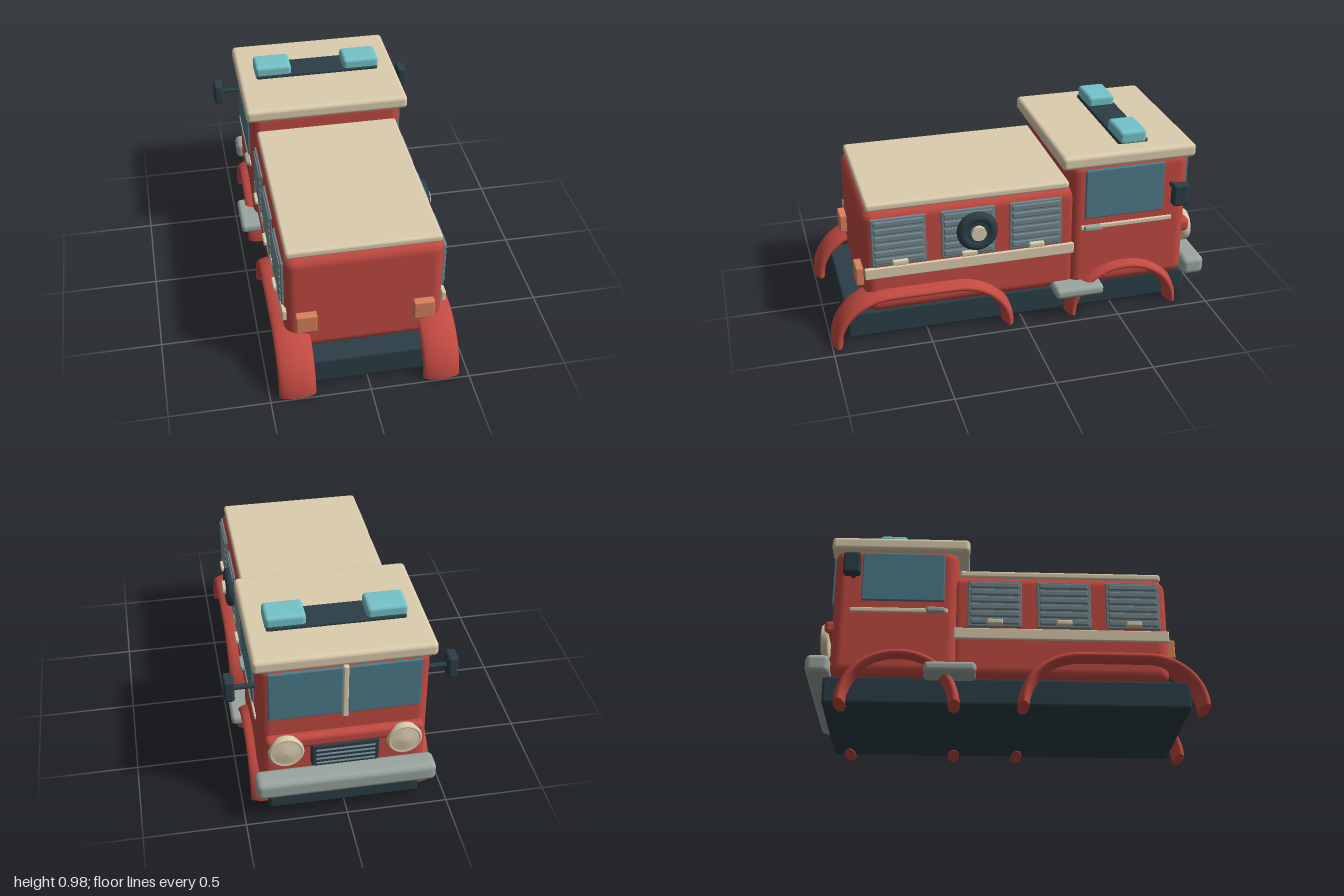
import * as THREE from 'three';
import { RoundedBoxGeometry } from 'three/addons/geometries/RoundedBoxGeometry.js';

const mat = (color) => new THREE.MeshStandardMaterial({ color });

export function createModel() {
  const truck = new THREE.Group();
  truck.name = 'fireTruck';
  const red = mat(0xc24a41), cream = mat(0xdccdae), dark = mat(0x2b3e47), glass = mat(0x4c7c8b);
  const teal = mat(0x74c3ca), grey = mat(0x9aa6a1), shutter = mat(0x70858a), orange = mat(0xd9825c);

  const add = (name, geometry, material, x = 0, y = 0, z = 0) => {
    const mesh = new THREE.Mesh(geometry, material);
    mesh.name = name;
    mesh.position.set(x, y, z);
    truck.add(mesh);
    return mesh;
  };
  // Rounded box given by its limits on each axis
  const block = (name, material, [x0, x1], [y0, y1], [z0, z1], r = 0.01) => {
    const w = x1 - x0, h = y1 - y0, d = z1 - z0;
    const radius = Math.min(r, w * 0.49, h * 0.49, d * 0.49);
    return add(name, new RoundedBoxGeometry(w, h, d, 4, radius), material,
      (x0 + x1) / 2, (y0 + y1) / 2, (z0 + z1) / 2);
  };
  // The same block on both sides of the truck
  const pair = (name, material, [x0, x1], y, z, r) => {
    block(name + 'Left', material, [x0, x1], y, z, r);
    block(name + 'Right', material, [-x1, -x0], y, z, r);
  };

  // Chassis, rear body and cab
  block('chassis', dark, [-0.375, 0.375], [0.005, 0.15], [-0.915, 0.91], 0.015);
  block('rearBody', red, [-0.395, 0.395], [0.14, 0.725], [-0.3, 0.812], 0.06);
  block('cab', red, [-0.412, 0.412], [0.14, 0.86], [-0.887, -0.25], 0.06);
  block('rearRoof', cream, [-0.38, 0.38], [0.712, 0.754], [-0.25, 0.79], 0.015);
  block('cabRoof', cream, [-0.435, 0.435], [0.835, 0.908], [-0.907, -0.197], 0.022);

  // Roof light bar
  block('lightBar', dark, [-0.337, 0.337], [0.9, 0.925], [-0.68, -0.518], 0.012);
  pair('beacon', teal, [0.145, 0.342], [0.9, 0.975], [-0.67, -0.525], 0.02);

  // Windows
  pair('sideWindow', glass, [0.4, 0.424], [0.55, 0.82], [-0.745, -0.325], 0.006);
  pair('windscreen', glass, [0.012, 0.365], [0.55, 0.82], [-0.897, -0.875], 0.006);
  block('windscreenPillar', cream, [-0.014, 0.014], [0.535, 0.835], [-0.91, -0.88], 0.008);

  // Door trim, handles and mirrors
  pair('doorTrim', cream, [0.4, 0.422], [0.485, 0.51], [-0.8, -0.305], 0.006);
  pair('doorHandle', grey, [0.41, 0.44], [0.482, 0.512], [-0.415, -0.32], 0.01);
  pair('mirror', dark, [0.51, 0.561], [0.63, 0.75], [-0.83, -0.743], 0.015);
  for (const s of [-1, 1]) {
    add('mirrorArm', new THREE.CylinderGeometry(0.013, 0.013, 0.13, 16), dark, s * 0.46, 0.69, -0.79)
      .rotation.z = Math.PI / 2;
  }

  // Slatted equipment lockers along both sides
  for (const z of [0.635, 0.283, -0.068]) {
    pair('locker', shutter, [0.38, 0.404], [0.42, 0.682], [z - 0.138, z + 0.138], 0.006);
    for (let i = 0; i < 6; i++) {
      const y = 0.447 + i * 0.041;
      pair('lockerSlat', shutter, [0.395, 0.412], [y - 0.013, y + 0.018], [z - 0.125, z + 0.125], 0.007);
    }
    pair('lockerHandle', cream, [0.4, 0.43], [0.427, 0.455], [z - 0.04, z + 0.04], 0.008);
  }
  pair('sideTrim', cream, [0.385, 0.407], [0.352, 0.412], [-0.275, 0.812], 0.006);

  // Hose reel, on the left side only
  add('hoseReel', new THREE.TorusGeometry(0.078, 0.028, 16, 48), dark, 0.415, 0.56, 0.24)
    .rotation.y = Math.PI / 2;
  add('reelDisc', new THREE.CylinderGeometry(0.08, 0.08, 0.04, 40), dark, 0.415, 0.56, 0.24)
    .rotation.z = Math.PI / 2;
  add('reelHub', new THREE.CylinderGeometry(0.038, 0.038, 0.06, 32), cream, 0.427, 0.56, 0.24)
    .rotation.z = Math.PI / 2;

  // Steps and bumper
  pair('step', grey, [0.36, 0.497], [0.132, 0.188], [-0.418, -0.16], 0.022);
  block('bumper', grey, [-0.442, 0.442], [0.14, 0.24], [-1, -0.88], 0.03);

  // Headlights, their crossbar and the grille
  block('headlightBar', red, [-0.385, 0.385], [0.378, 0.452], [-0.925, -0.85], 0.025);
  for (const s of [-1, 1]) {
    const lamp = [[0, -0.03], [0.082, -0.03], [0.086, -0.02], [0.086, 0.002], [0.08, 0.01],
      [0.073, 0.01], [0.07, 0.005], [0.045, 0.013], [0, 0.017]].map((p) => new THREE.Vector2(...p));
    add('headlight', new THREE.LatheGeometry(lamp, 40), cream, s * 0.288, 0.375, -0.93)
      .rotation.x = -Math.PI / 2;
  }
  block('grille', dark, [-0.165, 0.165], [0.262, 0.392], [-0.93, -0.87], 0.01);
  for (let i = 0; i < 4; i++) {
    const y = 0.285 + i * 0.026;
    block('grilleBar', shutter, [-0.145, 0.145], [y - 0.004, y + 0.004], [-0.938, -0.92], 0.004);
  }

  // Tail lights
  pair('tailLight', orange, [0.24, 0.345], [0.29, 0.392], [0.79, 0.85], 0.008);

  // Arched fenders: a flattened tube over one axle, or over two with a straight top
  const fender = (name, zFront, zRear) => {
    const points = [];
    for (let i = 0; i <= 32; i++) {
      const a = (Math.PI * i) / 32;
      const y = 0.255 * Math.sin(a), dz = 0.28 * Math.cos(a);
      if (i <= 16) points.push(new THREE.Vector3(0, y, zRear + dz));
      if (i >= 16 && (i > 16 || zRear > zFront)) points.push(new THREE.Vector3(0, y, zFront + dz));
    }
    const half = 0.03, stretch = 0.0925 / half;
    const tube = new THREE.TubeGeometry(new THREE.CatmullRomCurve3(points), 80, half, 24);
    tube.scale(stretch, 1, 1);
    const cap = new THREE.CircleGeometry(half, 24).rotateX(Math.PI / 2).scale(stretch, 1, 1);
    for (const s of [-1, 1]) {
      add(name, tube, red, s * 0.3625);
      for (const z of [zRear + 0.28, zFront - 0.28]) add(name + 'End', cap, red, s * 0.3625, 0.001, z);
    }
  };
  fender('frontFender', -0.547, -0.547);
  fender('rearFender', 0.355, 0.69);

  return truck;
}
